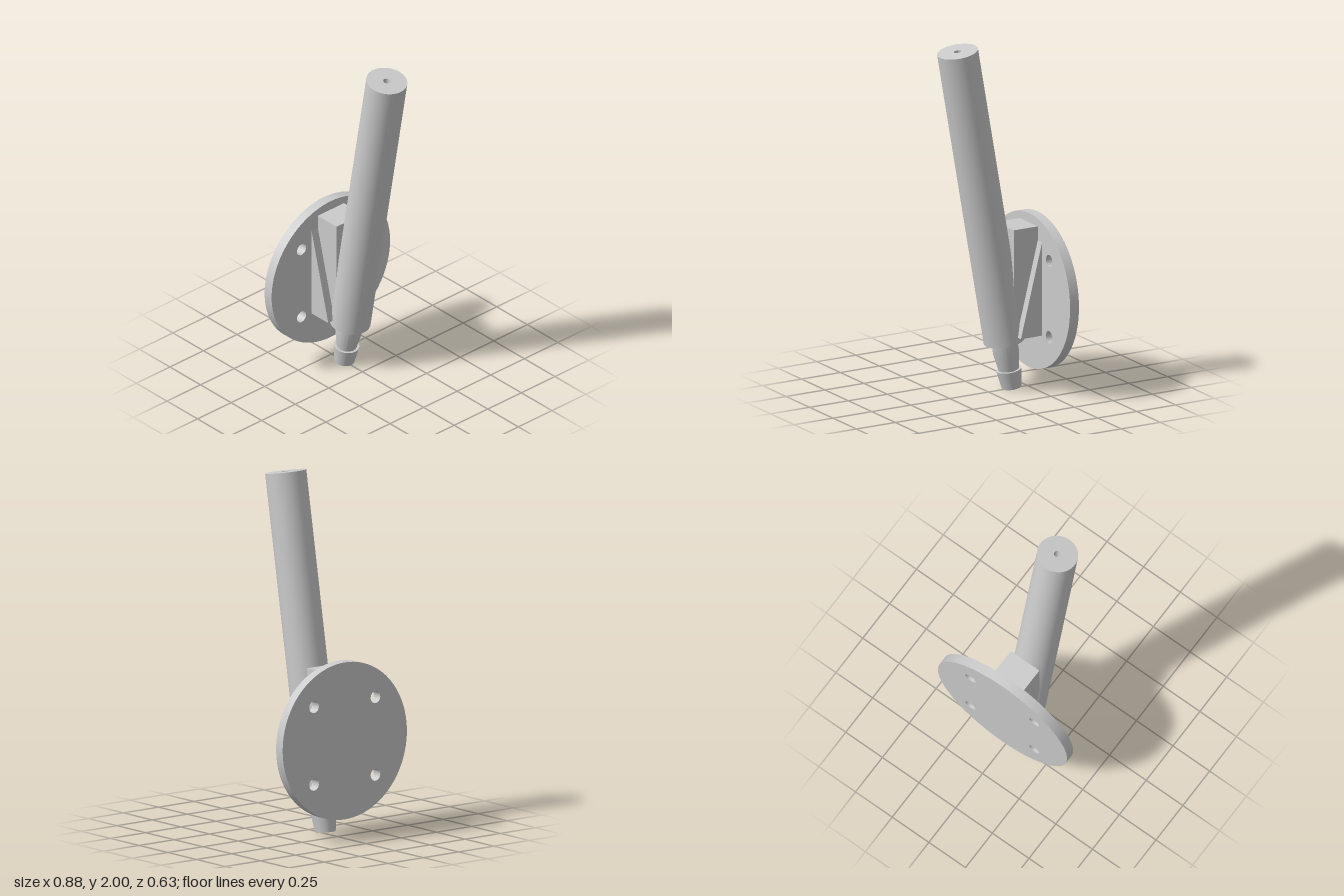
import * as THREE from 'three';
import { toCreasedNormals } from 'three/addons/utils/BufferGeometryUtils.js';

const material = new THREE.MeshStandardMaterial({ color: 0xcccccc });

function part(name, geometry) {
  const mesh = new THREE.Mesh(toCreasedNormals(geometry, 0.5), material);
  mesh.name = name;
  return mesh;
}

function revolve(name, profile) {
  const points = profile.map(([r, y]) => new THREE.Vector2(r, y));
  return part(name, new THREE.LatheGeometry(points, 64));
}

export function createModel() {
  const model = new THREE.Group();
  model.name = 'wallMountedTube';

  // Round mounting flange with four screw holes
  const disc = new THREE.Shape().absarc(0, 0, 0.441, 0, Math.PI * 2);
  for (const x of [-0.218, 0.218]) {
    for (const y of [-0.218, 0.218]) {
      disc.holes.push(new THREE.Path().absarc(x, y, 0.034, 0, Math.PI * 2, true));
    }
  }
  const flange = part('flange', new THREE.ExtrudeGeometry(disc, { depth: 0.057, bevelEnabled: false, curveSegments: 48 }));
  flange.position.set(0, 0.548, -0.315);
  model.add(flange);

  // Block joining the flange to the tube
  const block = part('mountBlock', new THREE.BoxGeometry(0.194, 0.615, 0.155));
  block.position.set(0, 0.6275, -0.1815);
  model.add(block);

  // Wedge gussets on both sides of the block (profile drawn in z, y)
  const wedge = new THREE.Shape([
    new THREE.Vector2(0.259, 0.32),
    new THREE.Vector2(0.122, 0.32),
    new THREE.Vector2(0.259, 0.86),
  ]);
  for (const [name, x] of [['leftGusset', 0.097], ['rightGusset', -0.143]]) {
    const gusset = part(name, new THREE.ExtrudeGeometry(wedge, { depth: 0.046, bevelEnabled: false }));
    gusset.rotation.y = Math.PI / 2;
    gusset.position.x = x;
    model.add(gusset);
  }

  // Tilted tube assembly, its origin at the tip of the hose barb
  const tube = new THREE.Group();
  tube.name = 'tubeAssembly';
  tube.position.set(0, 0.01, -0.148);
  tube.rotation.x = THREE.MathUtils.degToRad(10);
  model.add(tube);

  // Main tube with a narrow bore
  tube.add(revolve('tube', [
    [0.02, 0.274], [0.114, 0.274], [0.114, 2.001], [0.02, 2.001], [0.02, 0.274],
  ]));

  // Hose barb: tapered tip, step, tapered neck, wider bore
  tube.add(revolve('hoseBarb', [
    [0.037, 0], [0.056, 0], [0.071, 0.106], [0.057, 0.106],
    [0.072, 0.198], [0.072, 0.274], [0.037, 0.274], [0.037, 0],
  ]));

  return model;
}
